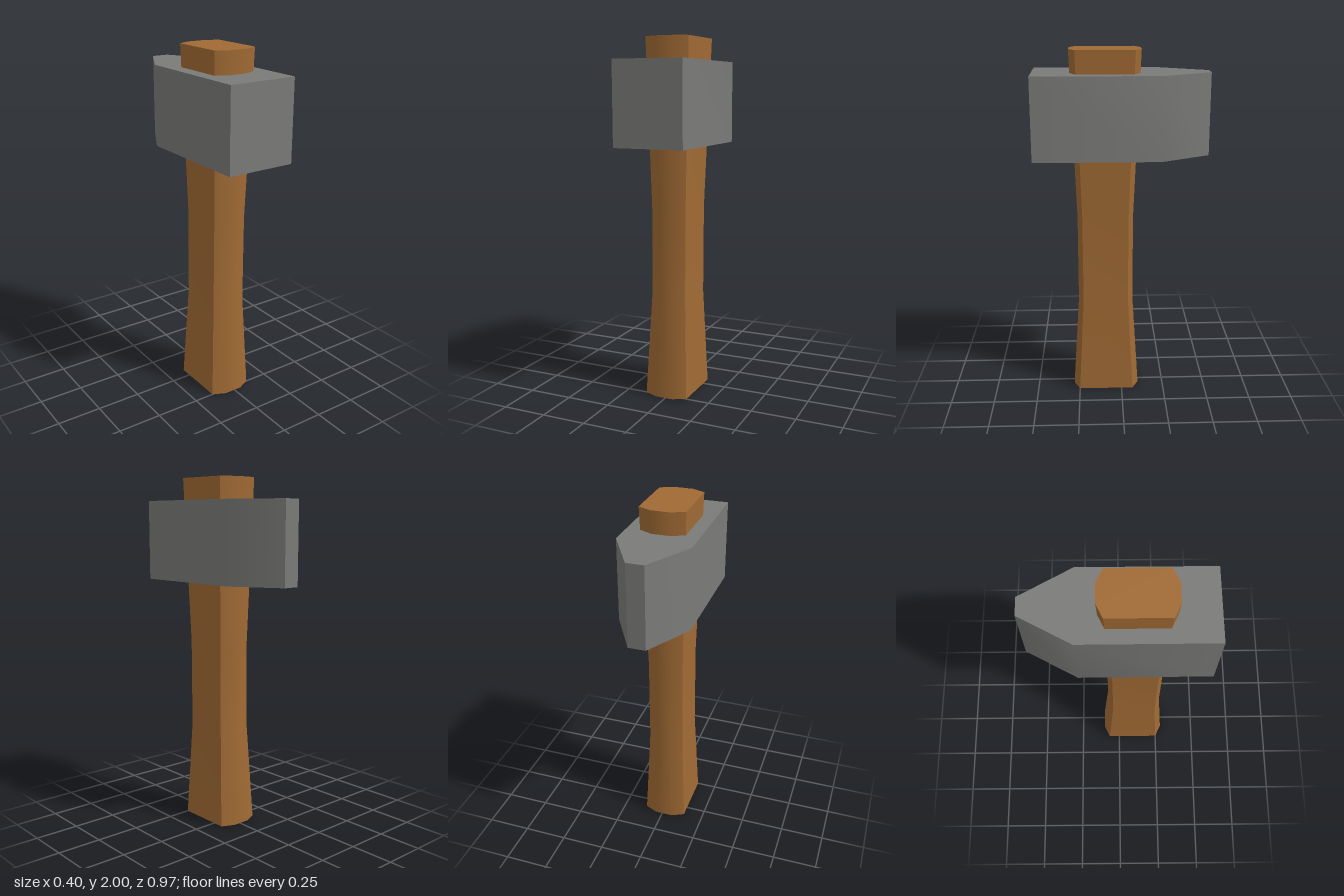
import * as THREE from 'three';
import { toCreasedNormals } from 'three/addons/utils/BufferGeometryUtils.js';

const CREASE = 0.7;

// Loft closed rings of points (running from +x towards +z), with flat end caps
function loft(rings) {
  const n = rings[0].length;
  const pos = rings.flat(2);
  const index = [];
  for (let r = 0; r < rings.length - 1; r++) {
    for (let i = 0; i < n; i++) {
      const a = r * n + i, b = r * n + (i + 1) % n;
      index.push(a, a + n, b + n, a, b + n, b);
    }
  }
  const top = (rings.length - 1) * n;
  for (let i = 1; i < n - 1; i++) {
    index.push(0, i, i + 1, top, top + i + 1, top + i);
  }
  const geo = new THREE.BufferGeometry();
  geo.setAttribute('position', new THREE.Float32BufferAttribute(pos, 3));
  geo.setIndex(index);
  return toCreasedNormals(geo, CREASE);
}

export function createModel() {
  const group = new THREE.Group();
  const wood = new THREE.MeshStandardMaterial({ color: 0xa06a34 });
  wood.name = 'wood';
  const steel = new THREE.MeshStandardMaterial({ color: 0x7a7a78 });
  steel.name = 'steel';

  // Handle: flat sides with bowed front and back, waisted in the middle
  const section = [
    [1, 0.82], [0.42, 1], [-0.42, 1], [-1, 0.82],
    [-1, -0.82], [-0.42, -1], [0.42, -1], [1, -0.82],
  ];
  // height, x centre, half width, z centre, half depth
  const stations = [
    [0, -0.01, 0.125, 0.092, 0.193],
    [0.56, -0.007, 0.102, 0.091, 0.158],
    [1.06, -0.004, 0.101, 0.09, 0.158],
    [2, 0.001, 0.126, 0.086, 0.195],
  ];
  const rings = stations.map(([y, cx, w, cz, d]) =>
    section.map(([u, v]) => [cx + u * w, y, cz + v * d]));
  const handle = new THREE.Mesh(loft(rings), wood);
  handle.name = 'handle';
  group.add(handle);

  // Head: square striking face at the front, tapering to a blunt wedge behind
  const outline = [
    [0.198, -0.215], [0.199, 0.482], [-0.198, 0.485],
    [-0.2, -0.215], [-0.052, -0.487], [0.044, -0.487],
  ];
  const headRings = [1.42, 1.875].map((y) => outline.map(([x, z]) => [x, y, z]));
  const head = new THREE.Mesh(loft(headRings), steel);
  head.name = 'head';
  group.add(head);

  return group;
}
